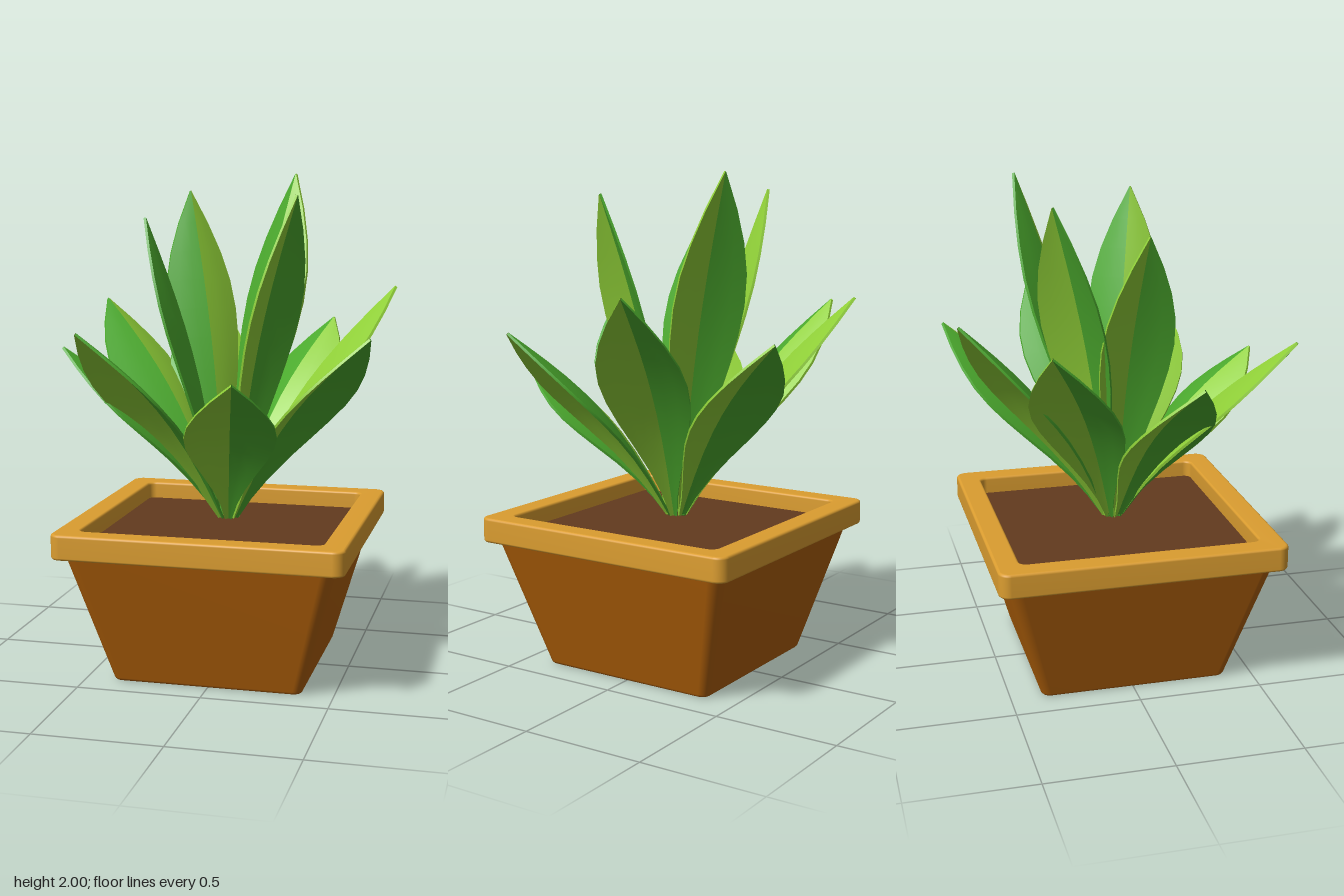
import * as THREE from 'three';
import { mergeVertices, toCreasedNormals } from 'three/addons/utils/BufferGeometryUtils.js';

const CX = -0.007, CZ = 0.008; // pot centre

function mat(name, color, side = THREE.FrontSide) {
  const m = new THREE.MeshStandardMaterial({ color, side });
  m.name = name;
  return m;
}

// Rounded square outline of half-width h and corner radius r
function roundedSquare(h, r, Type = THREE.Shape) {
  const s = new Type();
  const k = h - r;
  s.absarc(k, k, r, 0, Math.PI / 2);
  s.absarc(-k, k, r, Math.PI / 2, Math.PI);
  s.absarc(-k, -k, r, Math.PI, Math.PI * 1.5);
  s.absarc(k, -k, r, Math.PI * 1.5, Math.PI * 2);
  s.closePath();
  return s;
}

// Upright slab from y0 to y1 with bevelled edges
function slab(shape, y0, y1, bevel) {
  const g = new THREE.ExtrudeGeometry(shape, {
    depth: y1 - y0 - 2 * bevel, bevelEnabled: bevel > 0, bevelSize: bevel,
    bevelThickness: bevel, bevelOffset: -bevel, bevelSegments: 3, curveSegments: 6,
  });
  g.rotateX(-Math.PI / 2);
  g.translate(0, y0 + bevel, 0);
  return g;
}

// Area-weighted normals: rounded bevels, flat large faces
function soften(g) {
  g.deleteAttribute('uv');
  g.deleteAttribute('normal');
  const merged = mergeVertices(g, 1e-4);
  merged.computeVertexNormals();
  return merged;
}

// Half-width of a leaf along its length, as [t, fraction of the widest]
const PROFILE = [[0, 0.08], [0.1, 0.19], [0.2, 0.36], [0.32, 0.6], [0.44, 0.83], [0.54, 0.96],
  [0.63, 1], [0.72, 0.93], [0.81, 0.73], [0.9, 0.43], [1, 0.01]];

// One half of a leaf folded like a roof along its midrib, side = 1 (right) or -1 (left)
function leafHalf(base, tip, width, arch, side) {
  const axis = tip.clone().sub(base);
  const right = new THREE.Vector3().crossVectors(axis, new THREE.Vector3(0, 1, 0)).normalize();
  const inward = new THREE.Vector3().crossVectors(right, axis).normalize();
  // cross-section from the midrib out along the inner face and back along the outer one
  const section = [[0, 1], [0.33, 1], [0.67, 1], [1, 1], [1, -1], [0.67, -1], [0.33, -1], [0, -1]];
  const n = section.length, pos = [], idx = [];
  PROFILE.forEach(([t, f], row) => {
    const w = f * width;
    section.forEach(([u, face], c) => {
      const p = base.clone().addScaledVector(axis, t)
        .addScaledVector(right, side * w * u)
        .addScaledVector(inward, arch * Math.sin(Math.PI * t) - 0.36 * w * Math.pow(u, 1.25) + face * 0.005);
      pos.push(p.x, p.y, p.z);
      if (row && c) {
        const d = row * n + c, b = d - n;
        if (side > 0) idx.push(b - 1, b, d, b - 1, d, d - 1);
        else idx.push(b - 1, d, b, b - 1, d - 1, d);
      }
    });
  });
  const g = new THREE.BufferGeometry();
  g.setAttribute('position', new THREE.Float32BufferAttribute(pos, 3));
  g.setIndex(idx);
  return toCreasedNormals(g, 0.8);
}

export function createModel() {
  const model = new THREE.Group();
  model.name = 'pottedPlant';
  const clay = mat('clay', 0xae5f08);
  const rimGold = mat('rimGold', 0xdb9d30);
  const soilBrown = mat('soilBrown', 0x623a1e);
  const lime = mat('limeGreen', 0x90d038, THREE.DoubleSide);
  const green = mat('leafGreen', 0x4cab2e, THREE.DoubleSide);

  const add = (name, geometry, material) => {
    const m = new THREE.Mesh(geometry, material);
    m.name = name;
    m.position.set(CX, 0, CZ);
    model.add(m);
  };

  // Tapered pot body
  const body = slab(roundedSquare(0.53, 0.05), 0, 0.54, 0.012);
  const p = body.attributes.position;
  for (let i = 0; i < p.count; i++) {
    const k = (0.38 + 0.15 * p.getY(i) / 0.53) / 0.53;
    p.setX(i, p.getX(i) * k);
    p.setZ(i, p.getZ(i) * k);
  }
  add('potBody', soften(body), clay);

  // Rim with a square opening
  const rimShape = roundedSquare(0.574, 0.045);
  rimShape.holes.push(roundedSquare(0.479, 0.03, THREE.Path));
  add('potRim', soften(slab(rimShape, 0.53, 0.63, 0.01)), rimGold);

  // Soil
  add('soil', slab(roundedSquare(0.5, 0.03), 0.535, 0.56, 0), soilBrown);

  // Leaves: tip x, y, z; eight spreading ones, then four upright ones
  const outer = [[-0.287, 1.51, -0.648], [0.32, 1.38, -0.63], [0.645, 1.55, -0.18], [0.62, 1.39, 0.37],
    [0.16, 1.24, 0.648], [-0.437, 1.41, 0.627], [-0.645, 1.31, 0.197], [-0.64, 1.465, -0.367]];
  const inner = [[0.2, 2.0, -0.343], [0.3, 1.915, 0.16], [-0.335, 1.825, 0.07], [-0.24, 1.93, -0.278]];
  const addLeaf = (name, t, width, arch) => {
    const tip = new THREE.Vector3(...t);
    const r = Math.hypot(t[0], t[2]);
    const base = new THREE.Vector3(CX + 0.035 * t[0] / r, 0.61, CZ + 0.035 * t[2] / r);
    const leaf = new THREE.Group();
    leaf.name = name;
    for (const side of [1, -1]) {
      const half = new THREE.Mesh(leafHalf(base, tip, width, arch, side), side > 0 ? lime : green);
      half.name = side > 0 ? 'limeHalf' : 'greenHalf';
      leaf.add(half);
    }
    model.add(leaf);
  };
  outer.forEach((t, i) => addLeaf('outerLeaf' + (i + 1), t, 0.177, 0.072));
  inner.forEach((t, i) => addLeaf('innerLeaf' + (i + 1), t, 0.155, 0.05));

  return model;
}
